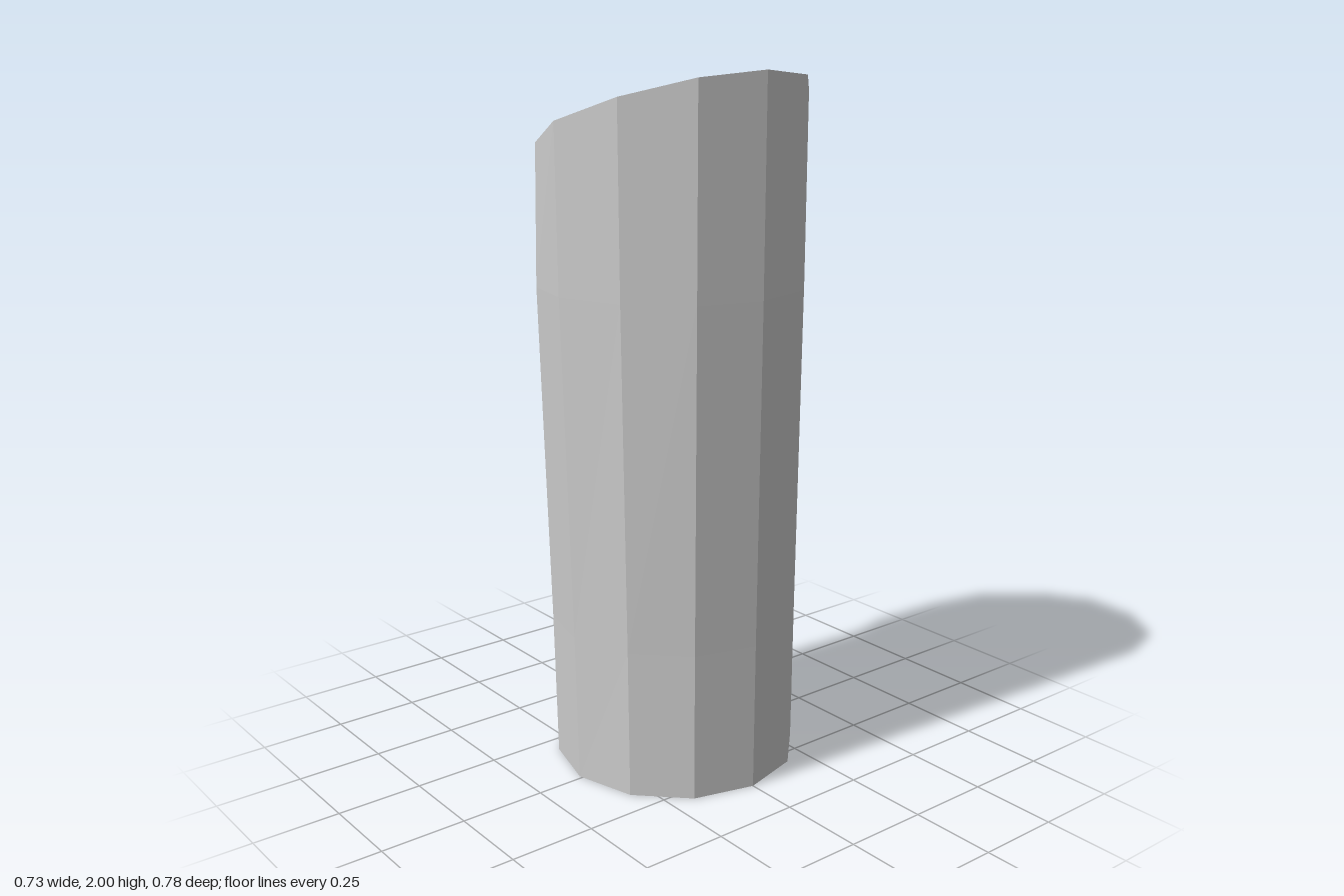
import * as THREE from 'three';

// Half outlines [x, y, z] from the +x side round the front to the -x side
const bottom = [[0.345, 0, 0], [0.297, 0, 0.178], [0.168, 0, 0.307], [-0.01, 0, 0.357],
  [-0.188, 0, 0.309], [-0.317, 0, 0.178], [-0.364, 0, 0]];
const top = [[0.363, 2, 0], [0.313, 1.983, 0.185], [0.167, 1.935, 0.328], [-0.023, 1.87, 0.392],
  [-0.192, 1.803, 0.34], [-0.318, 1.757, 0.198], [-0.364, 1.74, 0]];
const upper = [[0.36, 1.41, 0], [0.31, 1.41, 0.184], [0.168, 1.41, 0.325], [-0.02, 1.41, 0.389],
  [-0.192, 1.41, 0.347], [-0.318, 1.41, 0.207], [-0.364, 1.41, 0]];
const lower = bottom.map((p, i) => [
  p[0] + (upper[i][0] - p[0]) * 0.24, 0.433, p[2] + (upper[i][2] - p[2]) * 0.24]);

// Complete a half outline into a closed twelve-sided ring
const ring = (half) => [...half, ...half.slice(1, 6).reverse().map(([x, y, z]) => [x, y, -z])];

function meshFromQuads(name, quads) {
  const pos = [];
  for (const [a, b, c, d] of quads) pos.push(...a, ...b, ...c, ...a, ...c, ...d);
  const geo = new THREE.BufferGeometry();
  geo.setAttribute('position', new THREE.Float32BufferAttribute(pos, 3));
  geo.computeVertexNormals();
  const mesh = new THREE.Mesh(geo, new THREE.MeshStandardMaterial({ color: 0xcccccc, flatShading: true }));
  mesh.name = name;
  return mesh;
}

export function createModel() {
  const group = new THREE.Group();
  group.name = 'slantedColumn';
  const rings = [bottom, lower, upper, top].map(ring);
  const inset = ([x, y, z]) => [x + 0.043, y, z];
  const walls = [], recess = [], cap = [], base = [];

  // Side walls; the two -x facets of the middle band are sunk inward
  for (let r = 0; r < 3; r++) {
    const lo = rings[r], hi = rings[r + 1];
    for (let i = 0; i < 12; i++) {
      const j = (i + 1) % 12;
      if (r === 1 && (i === 5 || i === 6)) {
        recess.push([inset(lo[j]), inset(lo[i]), inset(hi[i]), inset(hi[j])]);
        recess.push([inset(lo[i]), inset(lo[j]), lo[j], lo[i]]); // sill
        recess.push([hi[i], hi[j], inset(hi[j]), inset(hi[i])]); // lintel
      } else {
        walls.push([lo[j], lo[i], hi[i], hi[j]]);
      }
    }
  }

  // Upright cheeks of the recess
  const [, lo, hi] = rings;
  recess.push([inset(lo[5]), lo[5], hi[5], inset(hi[5])]);
  recess.push([inset(hi[7]), hi[7], lo[7], inset(lo[7])]);

  // Slanted cap and flat base as strips between mirrored corners
  for (let i = 0; i < 6; i++) {
    const m = (12 - i) % 12, n = 11 - i;
    const [b, t] = [rings[0], rings[3]];
    cap.push([t[i], t[m], t[n], t[i + 1]]);
    base.push([b[i + 1], b[n], b[m], b[i]]);
  }

  group.add(meshFromQuads('sideWalls', walls), meshFromQuads('sideRecess', recess),
    meshFromQuads('slantedCap', cap), meshFromQuads('base', base));
  return group;
}
